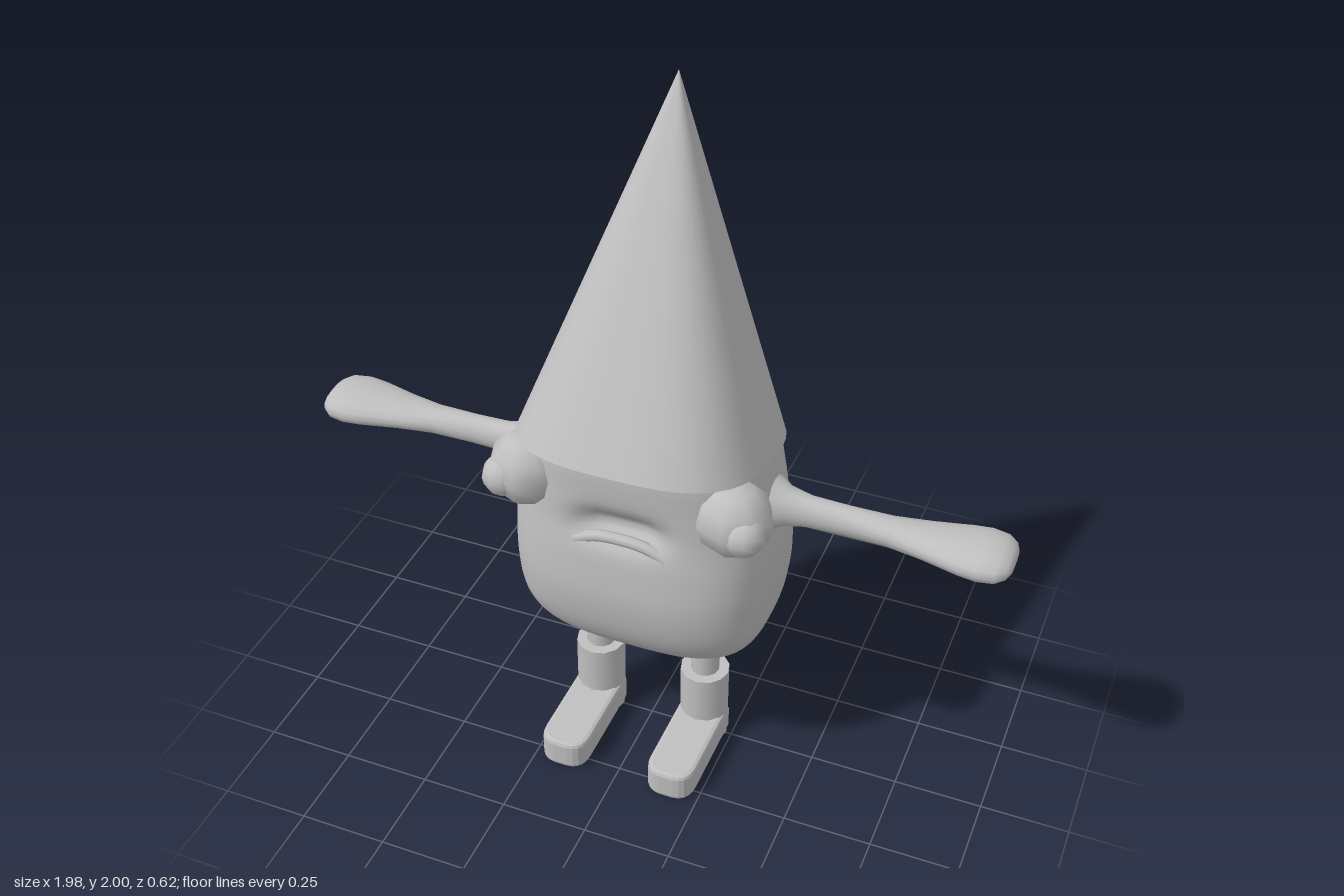
import * as THREE from 'three';

const grey = new THREE.MeshStandardMaterial({ color: 0xbfbfbf });
grey.name = 'plain grey';

function add(parent, name, geometry, x = 0, y = 0, z = 0) {
  const mesh = new THREE.Mesh(geometry, grey);
  mesh.name = name;
  mesh.position.set(x, y, z);
  parent.add(mesh);
  return mesh;
}

// Rounded-square ring in the xz plane; larger power means squarer
function ring(y, halfX, halfZ, centreZ, power, sides) {
  return Array.from({ length: sides }, (_, i) => {
    const t = (i / sides) * Math.PI * 2;
    const c = Math.cos(t), s = Math.sin(t);
    const k = Math.pow(Math.abs(c) ** power + Math.abs(s) ** power, -1 / power);
    return new THREE.Vector3(halfX * c * k, y, centreZ + halfZ * s * k);
  });
}

// Skin a stack of rings, listed from bottom to top
function loft(rings) {
  const n = rings[0].length, index = [];
  for (let r = 0; r < rings.length - 1; r++) {
    for (let i = 0; i < n; i++) {
      const a = r * n + i, b = r * n + ((i + 1) % n);
      index.push(a, a + n, b, b, a + n, b + n);
    }
  }
  const g = new THREE.BufferGeometry();
  g.setAttribute('position', new THREE.Float32BufferAttribute(rings.flat().flatMap((p) => [p.x, p.y, p.z]), 3));
  g.setIndex(index);
  g.computeVertexNormals();
  return g;
}

function bodyGeometry() {
  // height, half width, front z, back z
  const profile = [
    [0.37, 0.20, 0.10, -0.10], [0.40, 0.27, 0.15, -0.15], [0.45, 0.325, 0.20, -0.205],
    [0.52, 0.357, 0.235, -0.26], [0.63, 0.37, 0.255, -0.303], [0.74, 0.37, 0.25, -0.285],
    [0.85, 0.36, 0.237, -0.262], [0.95, 0.345, 0.235, -0.256], [1.09, 0.31, 0.23, -0.255],
    [1.17, 0.24, 0.17, -0.22],
  ];
  const curve = (k) => new THREE.CatmullRomCurve3(profile.map((p) => new THREE.Vector3(p[k], p[0], 0)));
  const curves = [curve(1), curve(2), curve(3)];
  const rings = [ring(0.385, 0.001, 0.001, 0, 3, 64)];
  for (let i = 0; i <= 45; i++) {
    const [w, f, b] = curves.map((c) => c.getPoint(i / 45));
    rings.push(ring(w.y, w.x, (f.x - b.x) / 2, (f.x + b.x) / 2, 3, 64));
  }
  rings.push(ring(1.18, 0.001, 0.001, 0, 3, 64));
  // Hollow above the mouth
  for (const p of rings.flat()) {
    if (p.z > 0.1) {
      const v = (p.y - 0.865) / (p.y < 0.865 ? 0.04 : 0.05);
      p.z -= 0.05 * Math.exp(-((p.x / 0.12) ** 4) - v * v);
    }
  }
  return loft(rings);
}

function hatGeometry() {
  const rim = ring(0, 0.34, 0.31, 0, 2.9, 48);
  rim.forEach((p) => { p.y = 1.0425 + 0.1855 * p.z; });
  const apex = new THREE.Vector3(0, 2, -0.17);
  return [
    loft([0, 0.25, 0.5, 0.75, 0.999].map((t) => rim.map((p) => p.clone().lerp(apex, t)))),
    loft([0.001, 1].map((k) => rim.map((p) => new THREE.Vector3(p.x * k, 1.0425 + 0.1855 * p.z * k, p.z * k)))),
  ];
}

function armGeometry() {
  // distance from the middle, half height, half depth
  const profile = [
    [0.30, 0.09, 0.10], [0.345, 0.075, 0.075], [0.38, 0.055, 0.052], [0.44, 0.046, 0.036],
    [0.54, 0.042, 0.036], [0.66, 0.037, 0.045], [0.76, 0.037, 0.068], [0.86, 0.043, 0.092],
    [0.91, 0.046, 0.098], [0.955, 0.041, 0.091], [0.98, 0.029, 0.07], [0.99, 0.015, 0.045],
    [0.992, 0.001, 0.001],
  ];
  return loft(profile.map(([d, h, w]) => ring(d, h, w, 0, 2.2, 16)));
}

function footGeometry() {
  // Plan outline with a rounded toe; the shape's y becomes z
  const w = 0.066, s = new THREE.Shape();
  s.moveTo(-w, -0.02);
  s.lineTo(w, -0.02);
  s.lineTo(w, 0.24);
  s.quadraticCurveTo(w, 0.297, 0.02, 0.30);
  s.lineTo(-0.02, 0.30);
  s.quadraticCurveTo(-w, 0.297, -w, 0.24);
  const g = new THREE.ExtrudeGeometry(s, {
    depth: 0.066, bevelThickness: 0.012, bevelSize: 0.012, bevelOffset: -0.008, bevelSegments: 2, curveSegments: 5,
  });
  g.rotateX(Math.PI / 2);
  return g;
}

export function createModel() {
  const model = new THREE.Group();
  model.name = 'hatted figure';
  add(model, 'body', bodyGeometry());

  // Mouth ridge
  const lip = new THREE.CatmullRomCurve3([
    new THREE.Vector3(-0.13, 0.803, 0.222), new THREE.Vector3(-0.07, 0.828, 0.222),
    new THREE.Vector3(0, 0.834, 0.222), new THREE.Vector3(0.07, 0.828, 0.222),
    new THREE.Vector3(0.13, 0.803, 0.222),
  ]);
  add(model, 'mouth', new THREE.TubeGeometry(lip, 20, 0.016, 8));

  const [cone, underside] = hatGeometry();
  add(model, 'hat', cone);
  add(model, 'hatUnderside', underside);

  const arm = armGeometry(), foot = footGeometry();
  const eye = new THREE.SphereGeometry(0.106, 8, 6);
  const pupil = new THREE.SphereGeometry(0.058, 10, 8);
  const leg = new THREE.CylinderGeometry(0.042, 0.042, 0.22, 12);
  const shaft = new THREE.CylinderGeometry(0.071, 0.071, 0.24, 12);
  for (const side of [1, -1]) {
    const label = side > 0 ? 'left' : 'right';
    add(model, label + 'Arm', arm, 0, 0.89, -0.012).rotation.z = -side * Math.PI / 2;
    add(model, label + 'Eye', eye, side * 0.293, 0.955, 0.165);
    add(model, label + 'Pupil', pupil, side * 0.338, 0.948, 0.215);
    const limb = new THREE.Group();
    limb.name = label + 'Leg';
    limb.position.x = side * 0.163;
    model.add(limb);
    add(limb, 'shin', leg, 0, 0.31, -0.004);
    add(limb, 'bootShaft', shaft, 0, 0.12, -0.003);
    add(limb, 'bootFoot', foot, 0, 0.078, 0);
  }
  return model;
}
